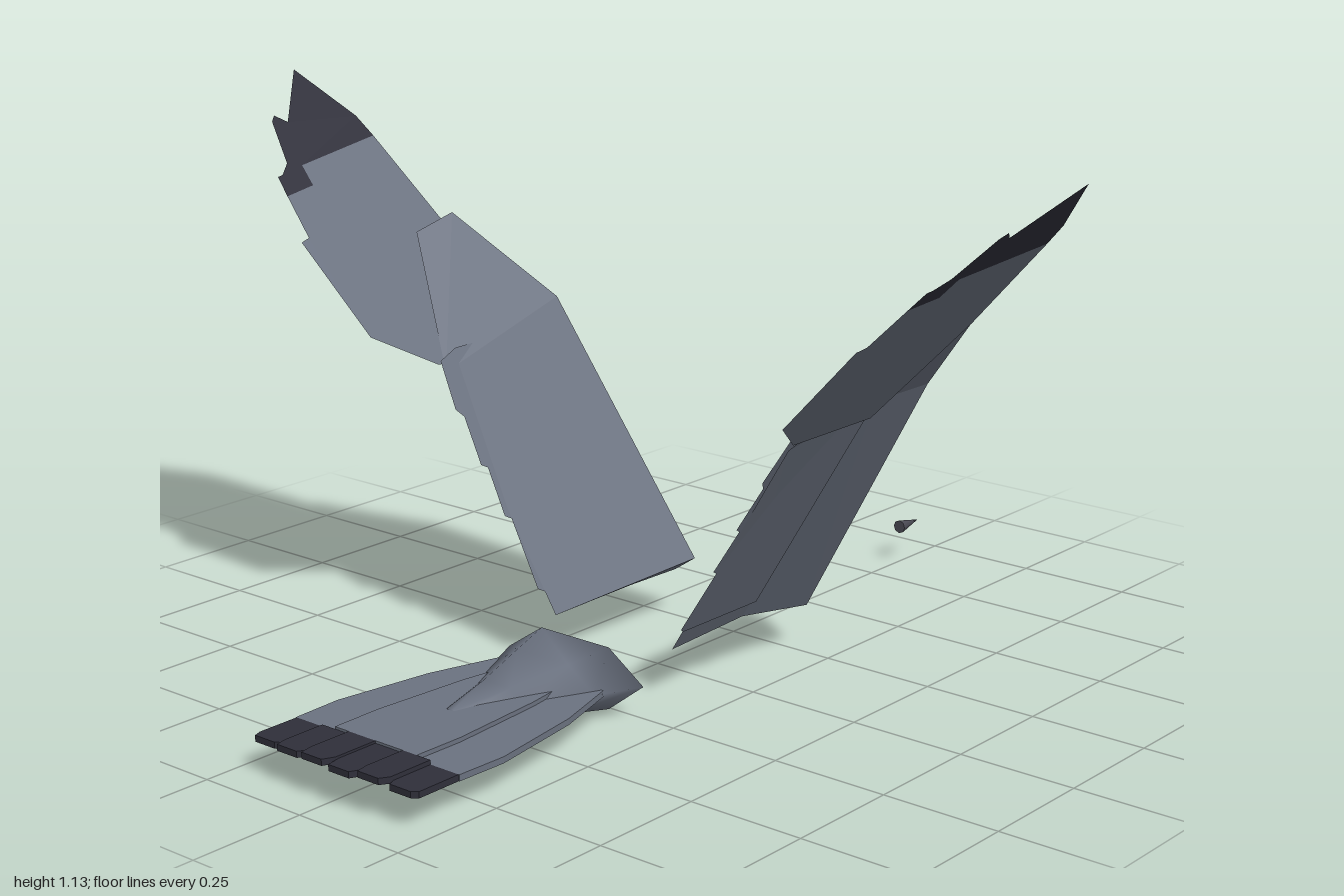
import * as THREE from 'three';

const slate = new THREE.MeshStandardMaterial({ color: 0x6b7280, side: THREE.DoubleSide });
slate.name = 'slate feathers';
const dark = new THREE.MeshStandardMaterial({ color: 0x2f2f3a, side: THREE.DoubleSide });
dark.name = 'dark feather tips';
const horn = new THREE.MeshStandardMaterial({ color: 0x4b4b55 });
horn.name = 'horn';

function addMesh(parent, name, geometry, material) {
  const mesh = new THREE.Mesh(geometry, material);
  mesh.name = name;
  parent.add(mesh);
  return mesh;
}

const shapeOf = (pts) => new THREE.Shape(pts.map(([x, z]) => new THREE.Vector2(x, z)));

// Thin feather sheet: an (x, z) outline raised by a height rule, facing up
function sheet(pts, heightAt, side) {
  const g = new THREE.ShapeGeometry(shapeOf(pts));
  const p = g.attributes.position;
  for (let i = 0; i < p.count; i++) {
    const x = p.getX(i), z = p.getY(i);
    p.setXYZ(i, x, heightAt(z), z * side);
  }
  const idx = g.index.array;
  if (side > 0) for (let i = 0; i < idx.length; i += 3) [idx[i], idx[i + 1]] = [idx[i + 1], idx[i]];
  g.computeVertexNormals();
  return g;
}

// Closed loft through rings of equal point count
function loft(rings, flip, smooth) {
  const n = rings[0].length, pos = rings.flat(2), idx = [];
  const tri = (a, b, c) => (flip ? idx.push(a, c, b) : idx.push(a, b, c));
  for (let r = 0; r < rings.length - 1; r++) {
    for (let i = 0; i < n; i++) {
      const a = r * n + i, b = r * n + (i + 1) % n;
      tri(a, b, b + n);
      tri(a, b + n, a + n);
    }
  }
  const last = (rings.length - 1) * n;
  for (let i = 1; i < n - 1; i++) {
    tri(0, i + 1, i);
    tri(last, last + i, last + i + 1);
  }
  let g = new THREE.BufferGeometry();
  g.setAttribute('position', new THREE.Float32BufferAttribute(pos, 3));
  g.setIndex(idx);
  if (!smooth) g = g.toNonIndexed();
  g.computeVertexNormals();
  return g;
}

const innerHeight = (z) => 0.108 + 1.65 * (z - 0.155);
const handHeight = (z) => 0.665 + 1.01 * (z - 0.53);

function makeWing(side) {
  const wing = new THREE.Group();
  wing.name = side > 0 ? 'wingPositiveZ' : 'wingNegativeZ';

  // Wedge arm: upper front, lower front, hollow underside, trailing edge
  const rings = [
    [[0.27, 0.137, 0.123], [0.27, 0.1, 0.178], [0.09, 0.118, 0.15], [-0.14, 0.113, 0.155]],
    [[0.215, 0.672, 0.465], [0.215, 0.645, 0.505], [0.09, 0.63, 0.47], [-0.15, 0.58, 0.445]],
    [[0.105, 0.847, 0.668], [0.1, 0.825, 0.685], [0.06, 0.822, 0.678], [0, 0.82, 0.672]],
  ].map((ring) => ring.map(([x, y, z]) => [x, y, z * side]));
  addMesh(wing, 'wingArm', loft(rings, side < 0, false), slate);

  // Stepped inner feathers
  addMesh(wing, 'innerFeathers', sheet([
    [0.09, 0.185], [-0.14, 0.185], [-0.155, 0.19], [-0.145, 0.27], [-0.16, 0.275], [-0.15, 0.33],
    [-0.165, 0.335], [-0.155, 0.39], [-0.17, 0.4], [-0.155, 0.455], [-0.1, 0.465], [0.09, 0.465],
  ], innerHeight, side), slate);

  // Outer hand feathers and their dark tips
  addMesh(wing, 'outerFeathers', sheet([
    [0.1, 0.68], [0.062, 0.86], [-0.175, 0.832], [-0.18, 0.795], [-0.262, 0.785], [-0.275, 0.71],
    [-0.3, 0.705], [-0.28, 0.53], [-0.155, 0.46], [0.09, 0.46],
  ], handHeight, side), slate);
  addMesh(wing, 'wingTip', sheet([
    [0.062, 0.86], [0.05, 0.9], [-0.035, 1], [-0.14, 0.91], [-0.165, 0.925], [-0.18, 0.915],
    [-0.21, 0.84], [-0.24, 0.822], [-0.255, 0.82], [-0.262, 0.785], [-0.18, 0.795], [-0.175, 0.832],
  ], handHeight, side), dark);
  return wing;
}

// Flat tail plate from an (x, z) outline
function plate(pts, y, thickness) {
  const g = new THREE.ExtrudeGeometry(shapeOf(pts), { depth: thickness, bevelEnabled: false });
  g.rotateX(Math.PI / 2);
  g.translate(0, y + thickness, 0);
  return g;
}

function makeTail() {
  const tail = new THREE.Group();
  tail.name = 'tail';

  // Rump tapering from a hexagonal section into the feathers
  const ring = (x, top, bottom, half) => {
    const mid = (top + bottom) / 2 + 0.004, h = half * 0.5;
    return [[x, top, h], [x, mid, half], [x, bottom, h], [x, bottom, -h], [x, mid, -half], [x, top, -h]];
  };
  addMesh(tail, 'rump', loft([
    ring(-0.255, 0.134, 0.005, 0.178),
    ring(-0.35, 0.12, 0.018, 0.135),
    ring(-0.48, 0.102, 0.04, 0.07),
    ring(-0.61, 0.09, 0.055, 0.015),
  ], true, true), slate);

  // Two side fans under one centre fan
  const rows = [[-0.33, 0.14], [-0.48, 0.185], [-0.695, 0.218], [-0.807, 0.214]];
  const fans = [['sideFan', -1, -0.45, 0.066], ['centreFan', -0.5, 0.5, 0.075], ['sideFan', 0.45, 1, 0.066]];
  for (const [name, a, b, y] of fans) {
    const outline = [...rows.map(([x, w]) => [x, a * w]), ...rows.map(([x, w]) => [x, b * w]).reverse()];
    addMesh(tail, name, plate(outline, y, 0.013), slate);
  }

  // Dark feather ends with small steps
  const ends = [-0.917, -0.927, -0.932, -0.932, -0.927, -0.917];
  ends.forEach((end, i) => {
    const z0 = -0.212 + i * 0.0707, z1 = z0 + 0.0707;
    const y = i === 0 || i === 5 ? 0.066 : i % 2 ? 0.07 : 0.075;
    addMesh(tail, 'tailTip', plate([
      [-0.807, z0], [-0.9, z0], [end, z0 + 0.006], [end, z1 - 0.012], [-0.908, z1], [-0.807, z1],
    ], y, 0.013), dark);
  });
  return tail;
}

export function createModel() {
  const bird = new THREE.Group();
  bird.name = 'bird';
  bird.add(makeWing(1), makeWing(-1), makeTail());

  // Small cone at the head end
  const beak = new THREE.ConeGeometry(0.015, 0.072, 8);
  beak.rotateZ(-Math.PI / 2);
  addMesh(bird, 'beak', beak, horn).position.set(0.89, 0.088, 0);
  return bird;
}
